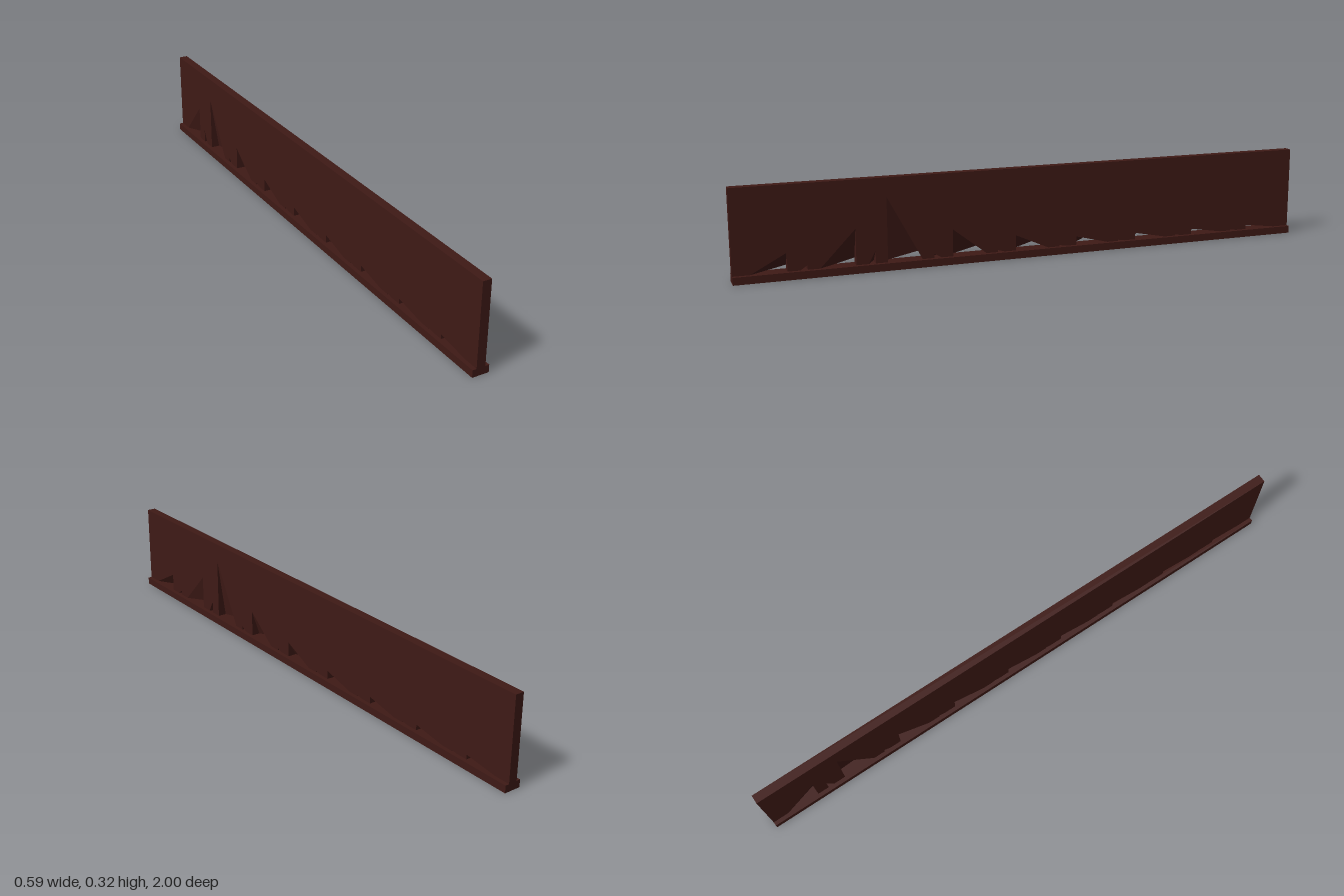
import * as THREE from 'three';

const LENGTH = 2.055, BASE_H = 0.026, TOP = 0.316, HALF_T = 0.0155;
const STEP = 0.2275; // spacing of the wide openings

// Peak heights of the openings on each face, from the -z end to the +z end.
const WIDE_NEG = [0.155, 0.23, 0.11, 0.075, 0.06, 0.055, 0.05, 0.045, 0.042];
const WIDE_POS = [0.042, 0.046, 0.05, 0.056, 0.08, 0.12, 0.25, 0.15, 0.09];
const SLIT_NEG = [0.075, 0.042, 0.035, 0.032, 0.031, 0.03, 0.03, 0.03];
const SLIT_POS = [0.03, 0.03, 0.03, 0.031, 0.033, 0.04, 0.07, 0.042];

// Each opening: centre, half width, and per face a peak height and the end it leans to
function listOpenings() {
  const list = [];
  for (let i = 0; i < 17; i++) {
    const k = i / 2 - 4, j = Math.floor(i / 2), wide = i % 2 === 0;
    list.push({
      c: k * STEP,
      w: wide ? 0.06 : 0.012,
      neg: { h: (wide ? WIDE_NEG : SLIT_NEG)[j], side: k < -3.6 ? 1 : -1 },
      pos: { h: (wide ? WIDE_POS : SLIT_POS)[j], side: k > 2.2 ? -1 : 1 },
    });
  }
  return list;
}

// Long face of the board with a row of triangular notches along the bottom
function faceGeometry(openings, dir) {
  const s = new THREE.Shape();
  s.moveTo(-LENGTH / 2, BASE_H);
  const row = dir < 0 ? openings : [...openings].reverse();
  for (const o of row) {
    const { h, side } = dir < 0 ? o.neg : o.pos;
    const u = -dir * o.c, peak = u - dir * side * o.w;
    s.lineTo(u - o.w, BASE_H);
    s.lineTo(peak, h);
    s.lineTo(u + o.w, BASE_H);
  }
  s.lineTo(LENGTH / 2, BASE_H);
  s.lineTo(LENGTH / 2, TOP);
  s.lineTo(-LENGTH / 2, TOP);
  return new THREE.ShapeGeometry(s).rotateY(dir * Math.PI / 2).translate(dir * HALF_T, 0, 0);
}

// Four-cornered patches, each split along its a-c diagonal
function quadGeometry(quads) {
  const p = [];
  for (const [a, b, c, d] of quads) p.push(...a, ...b, ...c, ...a, ...c, ...d);
  const g = new THREE.BufferGeometry();
  g.setAttribute('position', new THREE.Float32BufferAttribute(p, 3));
  g.computeVertexNormals();
  return g;
}

// Sloping roof and two end walls inside an opening
function liningQuads(o) {
  const corner = (x, s) => {
    const f = x < 0 ? o.neg : o.pos;
    return [x * HALF_T, f.side === s ? f.h : BASE_H, o.c + s * o.w];
  };
  const floor = (x, s) => [x * HALF_T, BASE_H, o.c + s * o.w];
  const wall = s => [corner(-1, s), corner(1, s), floor(1, s), floor(-1, s)];
  return [
    [corner(-1, -1), corner(1, -1), corner(1, 1), corner(-1, 1)],
    wall(-1), wall(1),
  ];
}

export function createModel() {
  const group = new THREE.Group();
  const material = new THREE.MeshStandardMaterial({
    color: 0x3f1a16, flatShading: true, side: THREE.DoubleSide,
  });
  const bar = new THREE.Group();
  bar.name = 'wallPanel';
  bar.rotation.y = THREE.MathUtils.degToRad(15);
  group.add(bar);

  const add = (name, geometry) => {
    const m = new THREE.Mesh(geometry, material);
    m.name = name;
    bar.add(m);
    return m;
  };

  // Base rail
  add('baseRail', new THREE.BoxGeometry(0.059, BASE_H, LENGTH)).position.y = BASE_H / 2;

  // Upright board
  const openings = listOpenings();
  add('boardLeftFace', faceGeometry(openings, 1));
  add('boardRightFace', faceGeometry(openings, -1));
  const T = HALF_T, E = LENGTH / 2;
  add('boardEdges', quadGeometry([
    [[-T, TOP, E], [T, TOP, E], [T, TOP, -E], [-T, TOP, -E]],
    [[-T, BASE_H, E], [T, BASE_H, E], [T, TOP, E], [-T, TOP, E]],
    [[T, BASE_H, -E], [-T, BASE_H, -E], [-T, TOP, -E], [T, TOP, -E]],
  ]));

  // Inner surfaces of the openings
  add('openingLinings', quadGeometry(openings.flatMap(liningQuads)));

  return group;
}
